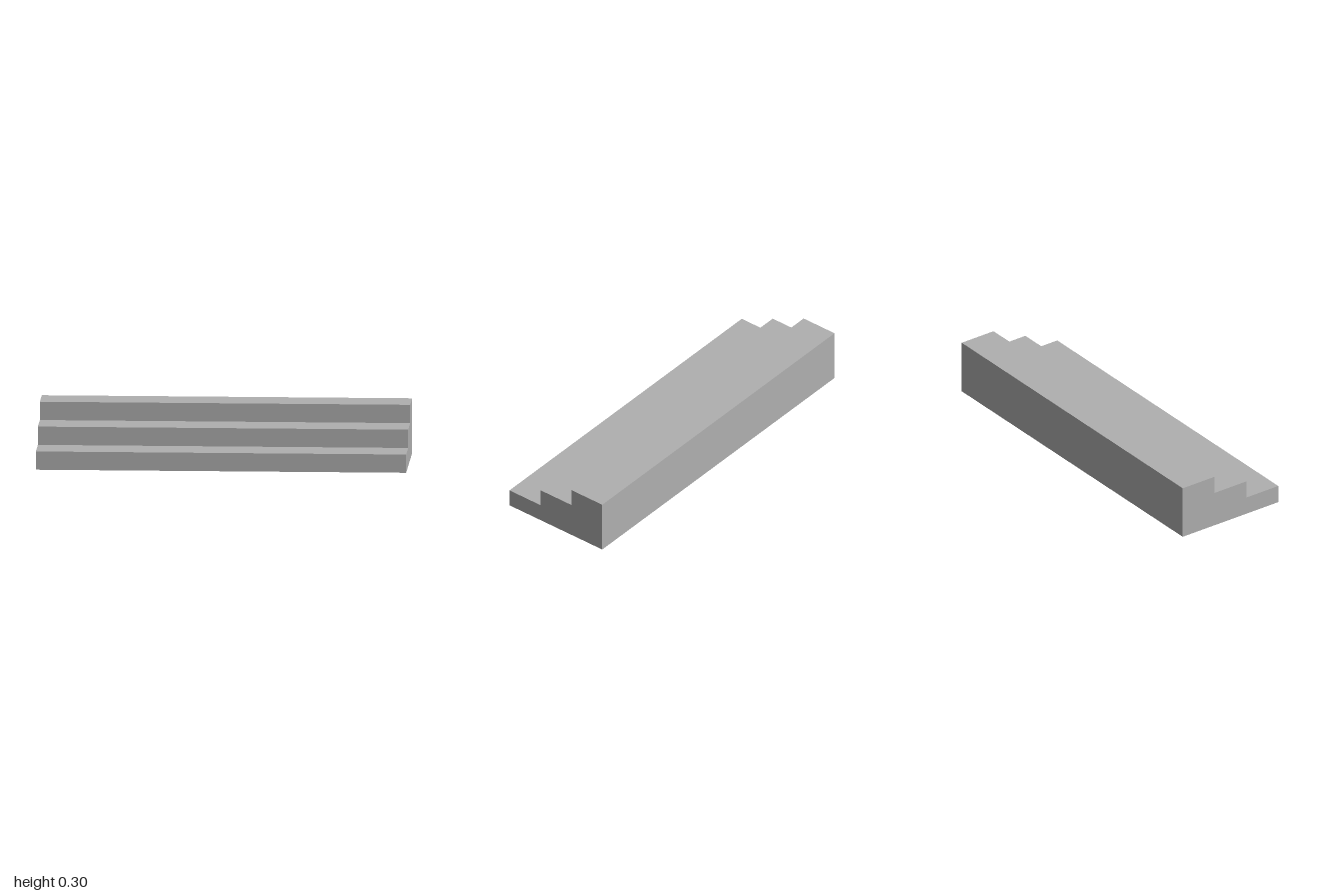
import * as THREE from 'three';

const WIDTH = 2, DEPTH = 0.642, RISE = 0.1, STEPS = 3;

export function createModel() {
  const model = new THREE.Group();
  model.name = 'staircase';

  const stone = new THREE.MeshStandardMaterial({ color: 0xb0b0b0 });
  stone.name = 'grey stone';

  // Stepped side profile, running from the front edge to the back
  const tread = DEPTH / STEPS;
  const profile = new THREE.Shape();
  profile.moveTo(-DEPTH / 2, 0);
  profile.lineTo(DEPTH / 2, 0);
  profile.lineTo(DEPTH / 2, STEPS * RISE);
  for (let i = STEPS - 1; i >= 0; i--) {
    const front = -DEPTH / 2 + i * tread;
    profile.lineTo(front, (i + 1) * RISE);
    if (i > 0) profile.lineTo(front, i * RISE);
  }

  // Solid flight of steps, turned so the lowest step faces +z
  const geometry = new THREE.ExtrudeGeometry(profile, { depth: WIDTH, bevelEnabled: false });
  geometry.translate(0, 0, -WIDTH / 2);
  geometry.rotateY(Math.PI / 2);

  const steps = new THREE.Mesh(geometry, stone);
  steps.name = 'steps';
  model.add(steps);
  return model;
}
